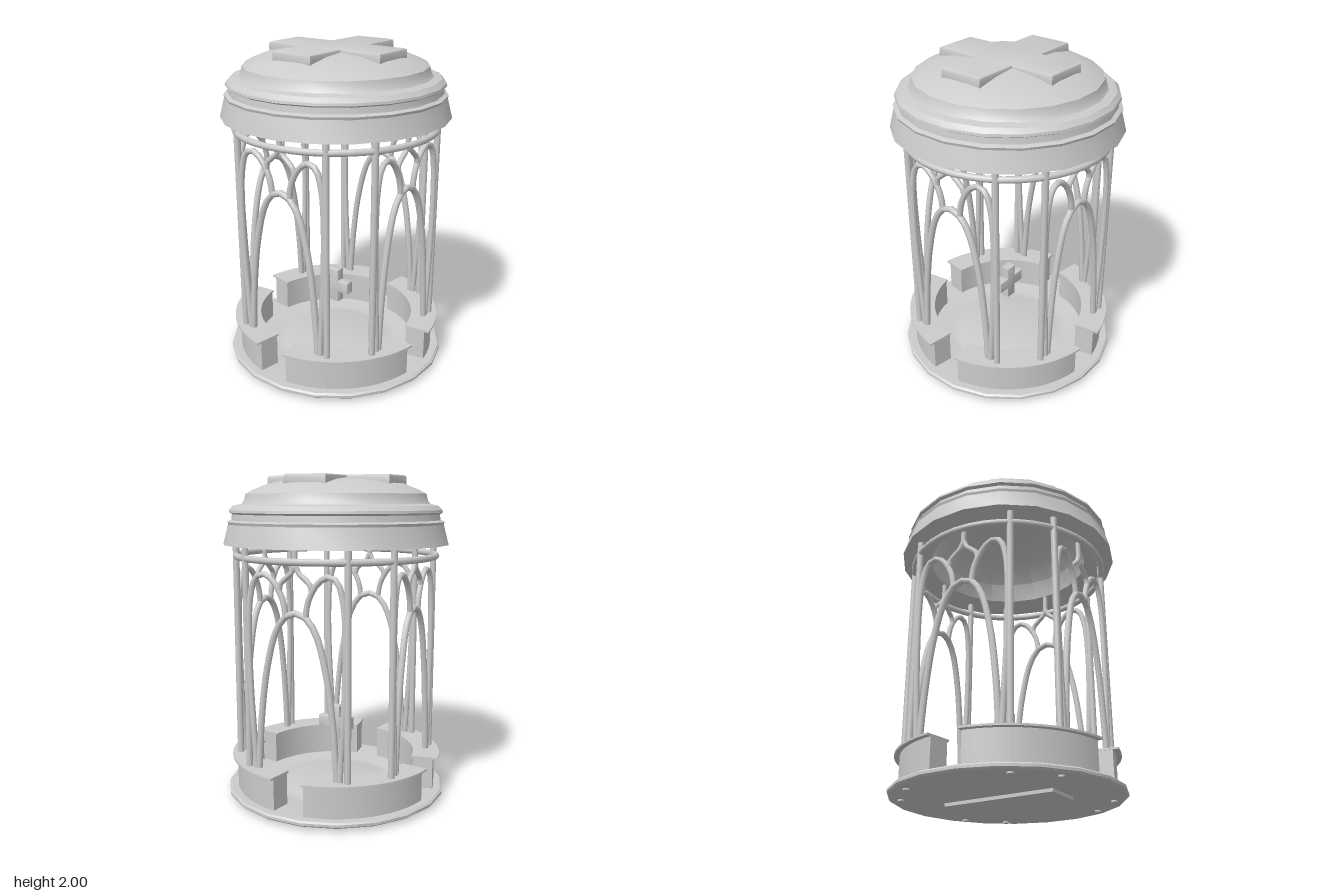
import * as THREE from 'three';
import { toCreasedNormals } from 'three/addons/utils/BufferGeometryUtils.js';

const material = new THREE.MeshStandardMaterial({ color: 0xcccccc });
const SIDES = 20;

function add(parent, name, geometry, x = 0, y = 0, z = 0) {
  const mesh = new THREE.Mesh(geometry, material);
  mesh.name = name;
  mesh.position.set(x, y, z);
  parent.add(mesh);
  return mesh;
}

// Turned part with flats facing the four axes
function turned(points) {
  const profile = points.map(([r, y]) => new THREE.Vector2(r, y));
  return toCreasedNormals(new THREE.LatheGeometry(profile, SIDES, Math.PI / SIDES), 0.5);
}

// Plus shape with arms of a given reach and half width
function plusShape(reach, half) {
  const s = new THREE.Shape();
  for (let i = 0; i < 4; i++) {
    const c = Math.round(Math.cos(i * Math.PI / 2)), n = Math.round(Math.sin(i * Math.PI / 2));
    for (const [x, y] of [[reach, -half], [reach, half], [half, half]]) {
      const px = c * x - n * y, py = n * x + c * y;
      if (s.curves.length === 0 && s.currentPoint.lengthSq() === 0) s.moveTo(px, py);
      else s.lineTo(px, py);
    }
  }
  s.closePath();
  return s;
}

// Curved slab around the y axis, centred on the angle mid
function arcSlab(inner, outer, mid, halfAngle, height) {
  const s = new THREE.Shape();
  s.absarc(0, 0, outer, mid - halfAngle, mid + halfAngle, false);
  s.absarc(0, 0, inner, mid + halfAngle, mid - halfAngle, true);
  s.closePath();
  const g = new THREE.ExtrudeGeometry(s, { depth: height, bevelEnabled: false, curveSegments: 10 });
  return toCreasedNormals(g.rotateX(-Math.PI / 2), 0.5);
}

function rod(points, radius = 0.018) {
  const curve = new THREE.CatmullRomCurve3(points.map(([x, y]) => new THREE.Vector3(x, y, 0)));
  return new THREE.TubeGeometry(curve, 36, radius, 8);
}

export function createModel() {
  const model = new THREE.Group();
  model.name = 'pavilion';

  // Base plate with a shallow basin, and the strip below it
  add(model, 'base', turned([
    [0, 0.02], [0.685, 0.02], [0.697, 0.03], [0.697, 0.045], [0.685, 0.055],
    [0.47, 0.055], [0.41, 0.042], [0.36, 0.042], [0.34, 0.048], [0, 0.048],
  ]));
  add(model, 'bottomStrip', new THREE.BoxGeometry(0.25, 0.02, 0.72), 0, 0.01, 0);

  // Domed roof with a flared rim and hollow underside
  add(model, 'roof', turned([
    [0, 1.92], [0.2, 1.9], [0.38, 1.83], [0.48, 1.72], [0.51, 1.6], [0.697, 1.59],
    [0.665, 1.71], [0.67, 1.725], [0.645, 1.735], [0.64, 1.77], [0.658, 1.78],
    [0.655, 1.795], [0.63, 1.82], [0.58, 1.83], [0.565, 1.85], [0.555, 1.89],
    [0.51, 1.915], [0.42, 1.95], [0.3, 1.973], [0.15, 1.988], [0, 1.992],
  ]));

  // Raised plus on the roof, tapering slightly upward
  const roofPlus = new THREE.ExtrudeGeometry(plusShape(0.4, 0.13), {
    depth: 0.05, bevelThickness: 0.015, bevelSize: 0.012, bevelOffset: -0.006, bevelSegments: 2,
  });
  roofPlus.rotateX(-Math.PI / 2);
  add(model, 'roofPlus', toCreasedNormals(roofPlus, 0.6), 0, 1.935, 0);

  // Floating plus in the middle
  const smallPlus = new THREE.ExtrudeGeometry(plusShape(0.105, 0.03), {
    depth: 0.046, bevelThickness: 0.008, bevelSize: 0.008, bevelSegments: 2,
  });
  add(model, 'centrePlus', toCreasedNormals(smallPlus, 0.6), 0, 0.44, -0.023);

  // Ring that ties the posts together
  add(model, 'topRing', new THREE.TorusGeometry(0.616, 0.02, 8, 40).rotateX(Math.PI / 2), 0, 1.52, 0);

  // Four low curved walls, each with a thin lip
  for (let i = 0; i < 4; i++) {
    const mid = Math.PI / 4 + i * Math.PI / 2;
    add(model, 'lowWall', arcSlab(0.51, 0.635, mid, 0.63, 0.2), 0, 0.05, 0);
    add(model, 'wallLip', arcSlab(0.5, 0.667, mid, 0.635, 0.012), 0, 0.25, 0);
  }

  // Four flat lattice panels with their pair of posts
  for (let i = 0; i < 4; i++) {
    const side = new THREE.Group();
    side.name = 'latticePanel';
    side.rotation.y = i * Math.PI / 2;
    const panel = new THREE.Group();
    panel.name = 'panelRods';
    panel.position.z = 0.52;
    side.add(panel);
    model.add(side);

    add(panel, 'mainArch', rod([
      [-0.268, 0.06], [-0.258, 0.3], [-0.235, 0.6], [-0.195, 0.88], [-0.13, 1.11], [-0.065, 1.2],
      [0, 1.222], [0.065, 1.2], [0.13, 1.11], [0.195, 0.88], [0.235, 0.6], [0.258, 0.3], [0.268, 0.06],
    ], 0.02));
    add(panel, 'finialRod', new THREE.CylinderGeometry(0.016, 0.016, 0.13, 8), 0, 1.545, 0);
    for (const s of [-1, 1]) {
      add(panel, 'post', new THREE.CylinderGeometry(0.02, 0.02, 1.6, 10), s * 0.33, 0.81, 0);
      add(panel, 'sideArch', rod([
        [0.275, 0.06], [0.285, 0.35], [0.308, 0.75], [0.314, 1.1], [0.3, 1.3], [0.265, 1.41],
        [0.215, 1.438], [0.155, 1.41], [0.1, 1.335], [0.075, 1.27], [0.066, 1.205],
      ].map(([x, y]) => [s * x, y])));
      add(panel, 'ogeeRod', rod([
        [0.105, 1.34], [0.095, 1.385], [0.06, 1.42], [0.025, 1.45], [0.005, 1.49],
      ].map(([x, y]) => [s * x, y]), 0.016));
    }
  }
  return model;
}
